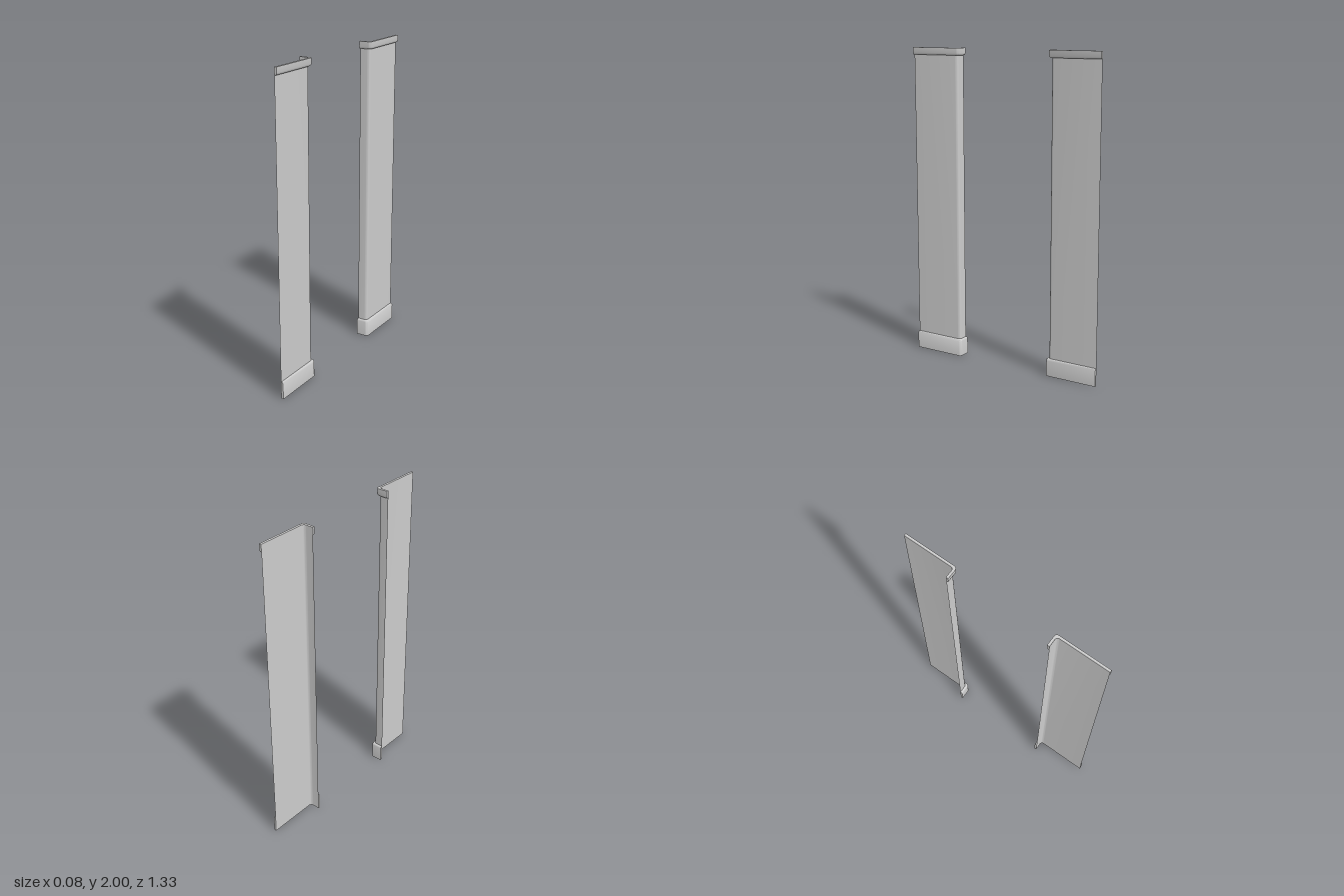
import * as THREE from 'three';
import { toCreasedNormals } from 'three/addons/utils/BufferGeometryUtils.js';

const WALL_X = 0.025, JAMB_Z = 0.335, JAMB_END = -0.041, WALL_END = 0.667;
const RADIUS = 0.018, TRIM = 0.015, ARC = 6;

// L-shaped plan line with a rounded corner, pushed outwards by d
function planLine(d, side) {
  const points = [[JAMB_END, -JAMB_Z + d]];
  for (let i = 0; i <= ARC; i++) {
    const a = (1 - i / ARC) * Math.PI / 2;
    points.push([
      WALL_X - RADIUS + d + RADIUS * Math.cos(a),
      -JAMB_Z - RADIUS + d + RADIUS * Math.sin(a),
    ]);
  }
  points.push([WALL_X + d, -WALL_END]);
  return points.map(([x, z]) => [x, z * side]);
}

// Sweeps a profile of [offset, height] points along the plan line
function sweep(profile, closed, side) {
  const rows = profile.map(([d, y]) => planLine(d, side).map(([x, z]) => [x, y, z]));
  const out = [];
  const tri = (a, b, c) => out.push(...a, ...(side > 0 ? [...b, ...c] : [...c, ...b]));
  const n = rows.length, m = rows[0].length;
  for (let i = 0; i < (closed ? n : n - 1); i++) {
    const low = rows[i], high = rows[(i + 1) % n];
    for (let j = 0; j < m - 1; j++) {
      tri(low[j], low[j + 1], high[j + 1]);
      tri(low[j], high[j + 1], high[j]);
    }
  }
  if (closed) {
    for (let i = 1; i < n - 1; i++) {
      tri(rows[0][0], rows[i][0], rows[i + 1][0]);
      tri(rows[0][m - 1], rows[i + 1][m - 1], rows[i][m - 1]);
    }
  }
  const geometry = new THREE.BufferGeometry();
  geometry.setAttribute('position', new THREE.Float32BufferAttribute(out, 3));
  return toCreasedNormals(geometry, 0.9);
}

export function createModel() {
  const group = new THREE.Group();
  const material = new THREE.MeshStandardMaterial({ color: 0xcccccc, side: THREE.DoubleSide });

  // Thin wall sheet, baseboard with eased top edge, crown with eased lower edge
  const parts = {
    wall: [[[0, 0], [0, 2]], false],
    baseboard: [[[0, 0], [TRIM, 0], [TRIM, 0.1], [0.013, 0.107], [0.009, 0.111], [0, 0.111]], true],
    crownMoulding: [[[0, 1.954], [0.009, 1.954], [0.013, 1.959], [TRIM, 1.967], [TRIM, 2], [0, 2]], true],
  };

  // One wall section on each side of the opening
  for (const [label, side] of [['back', 1], ['front', -1]]) {
    const section = new THREE.Group();
    section.name = `${label}WallSection`;
    for (const [name, [profile, closed]] of Object.entries(parts)) {
      const mesh = new THREE.Mesh(sweep(profile, closed, side), material);
      mesh.name = name;
      section.add(mesh);
    }
    group.add(section);
  }
  return group;
}
